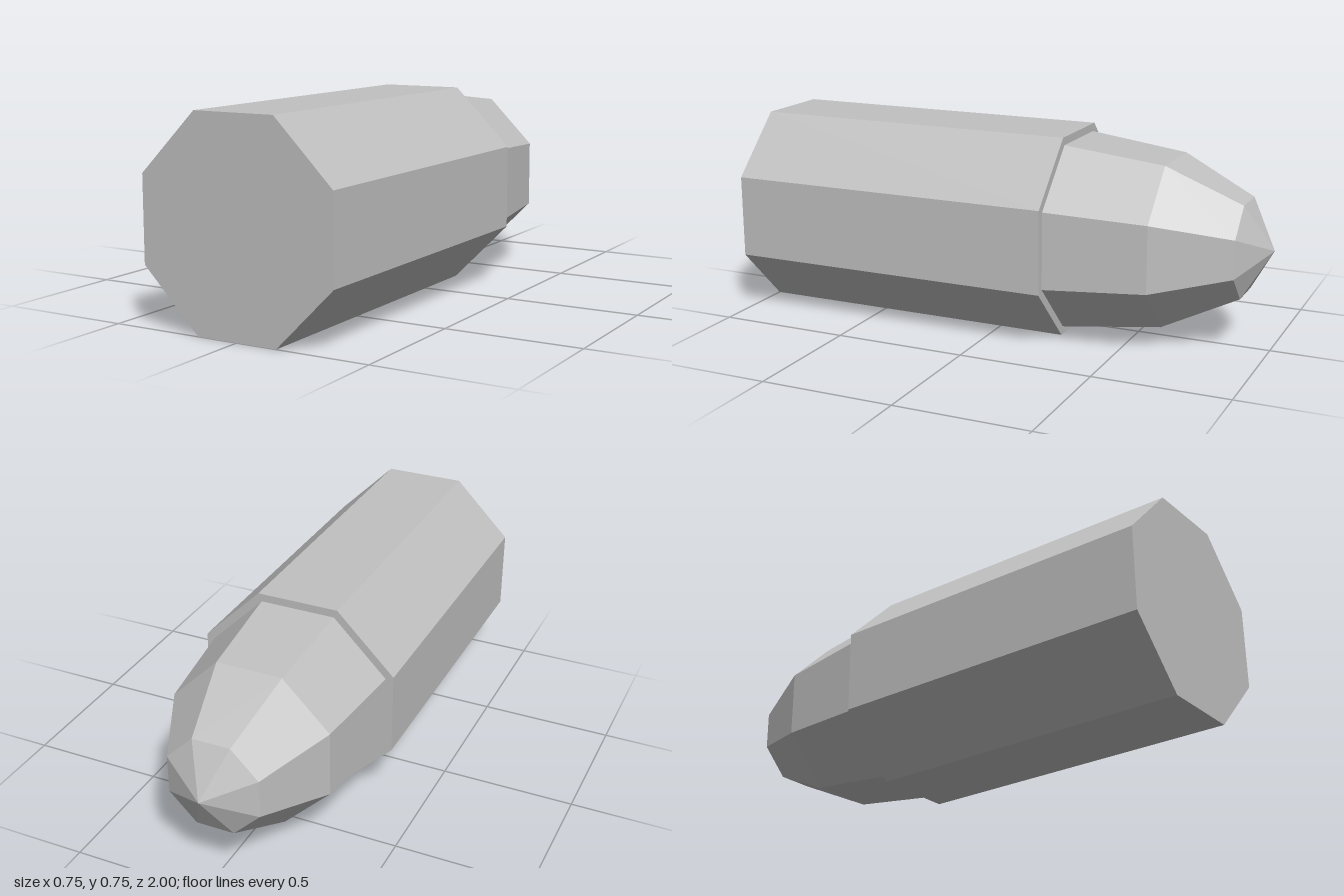
import * as THREE from 'three';

const SIDES = 8;
const CENTRE_Y = 0.375;

// Flat-faced octagonal section along z, radii given to the middle of a flat side
function section(name, material, zFront, zBack, flatFront, flatBack, open) {
  const k = 1 / Math.cos(Math.PI / SIDES);
  const indexed = new THREE.CylinderGeometry(
    flatBack * k, flatFront * k, zFront - zBack, SIDES, 1, open, Math.PI / SIDES);
  const geometry = indexed.toNonIndexed();
  geometry.rotateX(-Math.PI / 2);
  geometry.translate(0, CENTRE_Y, (zFront + zBack) / 2);
  geometry.computeVertexNormals();
  const mesh = new THREE.Mesh(geometry, material);
  mesh.name = name;
  return mesh;
}

export function createModel() {
  const model = new THREE.Group();
  model.name = 'bullet';
  const metal = new THREE.MeshStandardMaterial({ color: 0xc0c0c0 });
  metal.name = 'light grey metal';

  // Straight casing, closed at both ends
  model.add(section('casing', metal, 1, -0.25, 0.375, 0.375, false));

  // Tapering nose: [z, distance from axis to flat side]
  const nose = new THREE.Group();
  nose.name = 'nose';
  const rings = [[-0.25, 0.345], [-0.625, 0.3], [-0.9, 0.172], [-1, 0]];
  const names = ['noseBase', 'noseTaper', 'noseTip'];
  names.forEach((name, i) => {
    const [z0, r0] = rings[i];
    const [z1, r1] = rings[i + 1];
    nose.add(section(name, metal, z0, z1, r0, r1, true));
  });
  model.add(nose);

  return model;
}
